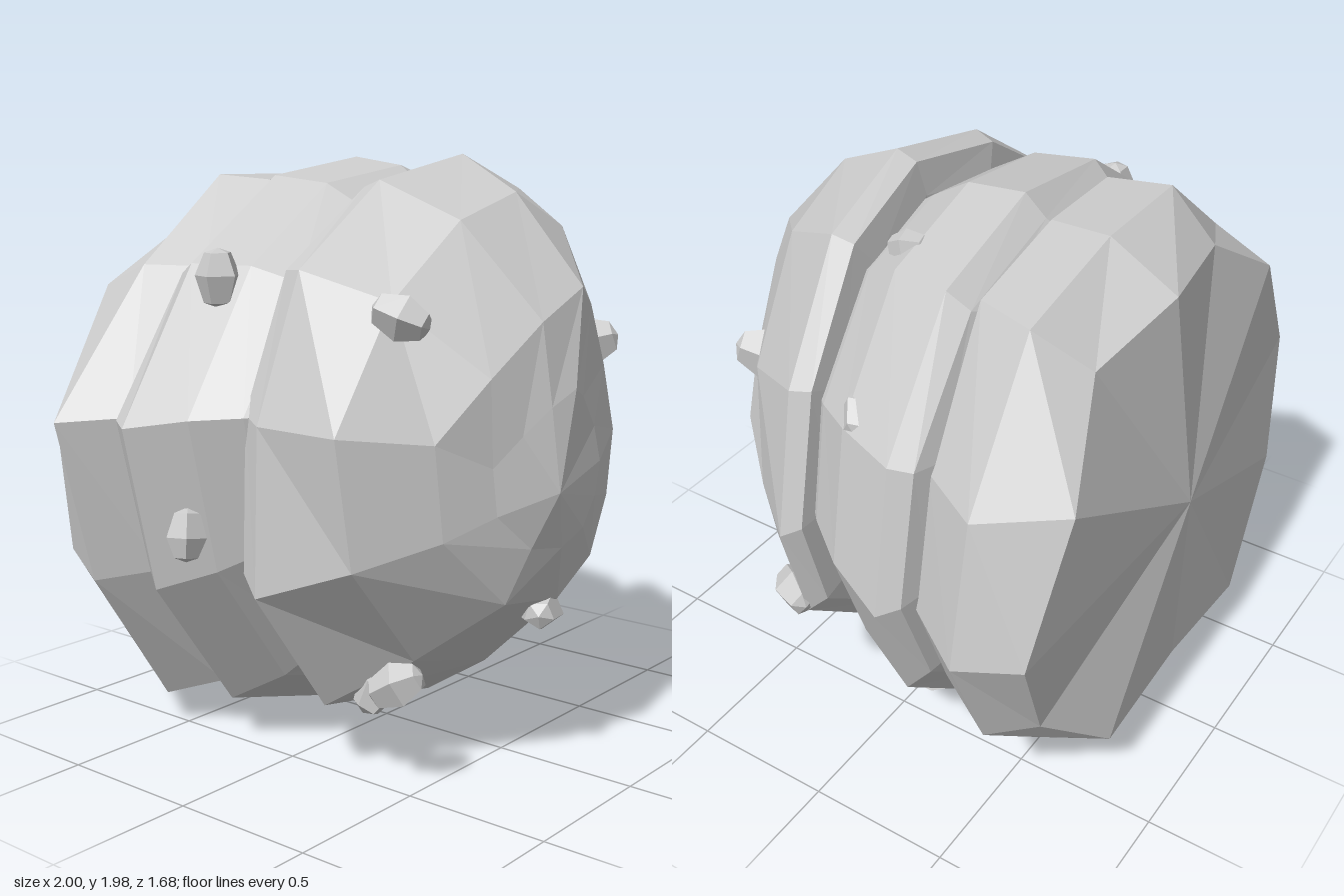
import * as THREE from 'three';

const material = new THREE.MeshStandardMaterial({ color: 0xcccccc, flatShading: true });

// Irregular twelve-sided outlines [x, y, depth offset], counter-clockwise as seen from the front
const bandOutline = [[0.97, 0.92], [0.88, 1.42], [0.57, 1.85], [0.15, 1.98], [-0.27, 1.92], [-0.66, 1.65],
  [-0.97, 1.16], [-0.85, 0.62], [-0.52, 0.16], [-0.04, 0.03], [0.48, 0.2], [0.82, 0.5]];
const slabOutline = [[1.0, 0.88], [0.9, 1.36], [0.59, 1.83], [0.15, 1.92], [-0.24, 1.92], [-0.6, 1.63],
  [-1.0, 1.15], [-0.86, 0.6], [-0.55, 0.12], [-0.04, 0.14], [0.5, 0.15], [0.82, 0.45]];
const backOutline = [[0.91, 0.9, 0.01], [0.76, 1.4, -0.05], [0.5, 1.7, 0.05], [0.15, 1.79, -0.02], [-0.24, 1.76, 0.05],
  [-0.57, 1.55, -0.01], [-0.84, 1.12, 0.02], [-0.76, 0.65, -0.02], [-0.47, 0.24, -0.05], [-0.04, 0.24, -0.03],
  [0.45, 0.25, -0.05], [0.74, 0.51, 0.05]];
const rimOutline = [[0.86, 0.95], [0.76, 1.45], [0.51, 1.87], [0.13, 1.99, 0.03], [-0.27, 1.91], [-0.65, 1.65],
  [-0.8, 1.19, -0.04], [-0.82, 0.66, -0.04], [-0.55, 0.25], [-0.04, 0.17, 0.03], [0.43, 0.29], [0.76, 0.56]];
const shoulderOutline = [[0.66, 0.93, -0.02], [0.61, 1.36], [0.39, 1.75], [0.08, 1.87, 0.02], [-0.22, 1.79, 0.02],
  [-0.53, 1.56], [-0.77, 1.18, -0.02], [-0.72, 0.77], [-0.42, 0.42], [-0.03, 0.32], [0.35, 0.42], [0.59, 0.65]];
const crownOutline = [[0.51, 1.05, -0.08], [0.47, 1.28, -0.1], [0.23, 1.51, -0.01], [0.08, 1.58, 0.05],
  [-0.16, 1.49, 0.06], [-0.4, 1.34, 0.04], [-0.54, 1.15, -0.06], [-0.51, 0.85, -0.05], [-0.28, 0.62, 0.02],
  [-0.03, 0.59, 0.05], [0.23, 0.67, 0.01], [0.41, 0.84, -0.04]];

// A ring at depth z, scaled about the body axis and lifted by dy
function ring(outline, z, sx = 1, sy = 1, dy = 0) {
  return outline.map(([x, y, dz = 0]) => new THREE.Vector3(x * sx, 1 + (y - 1) * sy + dy, z + dz));
}

// Skin rings listed front to back, closed by a fan at each end
function loft(name, rings, frontTip, backTip) {
  const points = [];
  const n = rings[0].length;
  const last = rings[rings.length - 1];
  for (let i = 0; i < n; i++) {
    const j = (i + 1) % n;
    points.push(frontTip, rings[0][i], rings[0][j], backTip, last[j], last[i]);
    for (let r = 0; r < rings.length - 1; r++) {
      const a = rings[r], b = rings[r + 1];
      points.push(a[i], b[i], a[j], a[j], b[i], b[j]);
    }
  }
  const geometry = new THREE.BufferGeometry().setFromPoints(points);
  geometry.computeVertexNormals();
  const mesh = new THREE.Mesh(geometry, material);
  mesh.name = name;
  return mesh;
}

const axis = (z, x = 0, y = 1) => new THREE.Vector3(x, y, z);

export function createModel() {
  const model = new THREE.Group();
  model.name = 'rockShell';

  // Domed front: the nose ring lies halfway from crown to tip, fuller toward +x
  const tip = axis(0.84, -0.2, 0.98);
  const crown = ring(crownOutline, 0.68);
  const nose = crown.map((p) => {
    const q = p.clone().lerp(tip, 0.5);
    q.z += 0.12 * (q.x + 0.2);
    return q;
  });
  model.add(loft('frontDome', [
    nose,
    crown,
    ring(shoulderOutline, 0.45),
    ring(rimOutline, 0.19),
    ring(rimOutline, 0.12, 0.97, 0.93, 0.04),
    ring(rimOutline, 0.1, 0.8, 0.8, 0.05),
  ], tip, axis(0.09)));

  // Banded middle
  model.add(loft('middleBand', [
    ring(bandOutline, 0.13, 0.78, 0.76, 0.09),
    ring(bandOutline, 0.09, 0.82, 0.8, 0.08),
    ring(bandOutline, -0.05, 0.92, 0.92, 0.05),
    ring(bandOutline, -0.26),
    ring(bandOutline, -0.33, 0.96, 0.9, 0.03),
    ring(bandOutline, -0.36, 0.85, 0.86, 0.04),
  ], axis(0.13), axis(-0.36)));

  // Flat-backed rear slab
  model.add(loft('rearSlab', [
    ring(slabOutline, -0.34, 0.87, 0.95, 0.03),
    ring(slabOutline, -0.55),
    ring(backOutline, -0.76),
  ], axis(-0.34), axis(-0.84, 0.05, 1)));

  // Small five-sided stones stuck to the surface: [x, y, z, radius]
  const stones = [
    [-0.68, 1.61, -0.12, 0.1], [-0.55, 1.52, 0.5, 0.1], [0.5, 1.34, 0.49, 0.12], [0.74, 1.46, -0.07, 0.09],
    [0.4, 1.84, -0.01, 0.07], [-0.86, 0.83, -0.1, 0.09], [-0.05, 0.55, 0.68, 0.1], [0.73, 0.6, 0.26, 0.1],
    [0.49, 0.21, -0.13, 0.09], [0.06, 0.08, -0.55, 0.09], [-0.52, 0.37, 0.46, 0.1], [-0.44, 0.31, 0.32, 0.1],
  ];
  const profile = [[0, -0.95], [0.55, -0.75], [0.85, 0.1], [0.5, 0.8], [0, 0.95]];
  const stoneGeometry = new THREE.LatheGeometry(profile.map(([x, y]) => new THREE.Vector2(x, y)), 5);
  stones.forEach(([x, y, z, r], i) => {
    const stone = new THREE.Mesh(stoneGeometry, material);
    stone.name = `stone${i + 1}`;
    stone.position.set(x, y, z);
    stone.rotation.set(i * 1.3, i * 2.1, i * 0.7);
    stone.scale.set(r * 0.9, r, r * 0.85);
    model.add(stone);
  });
  return model;
}
